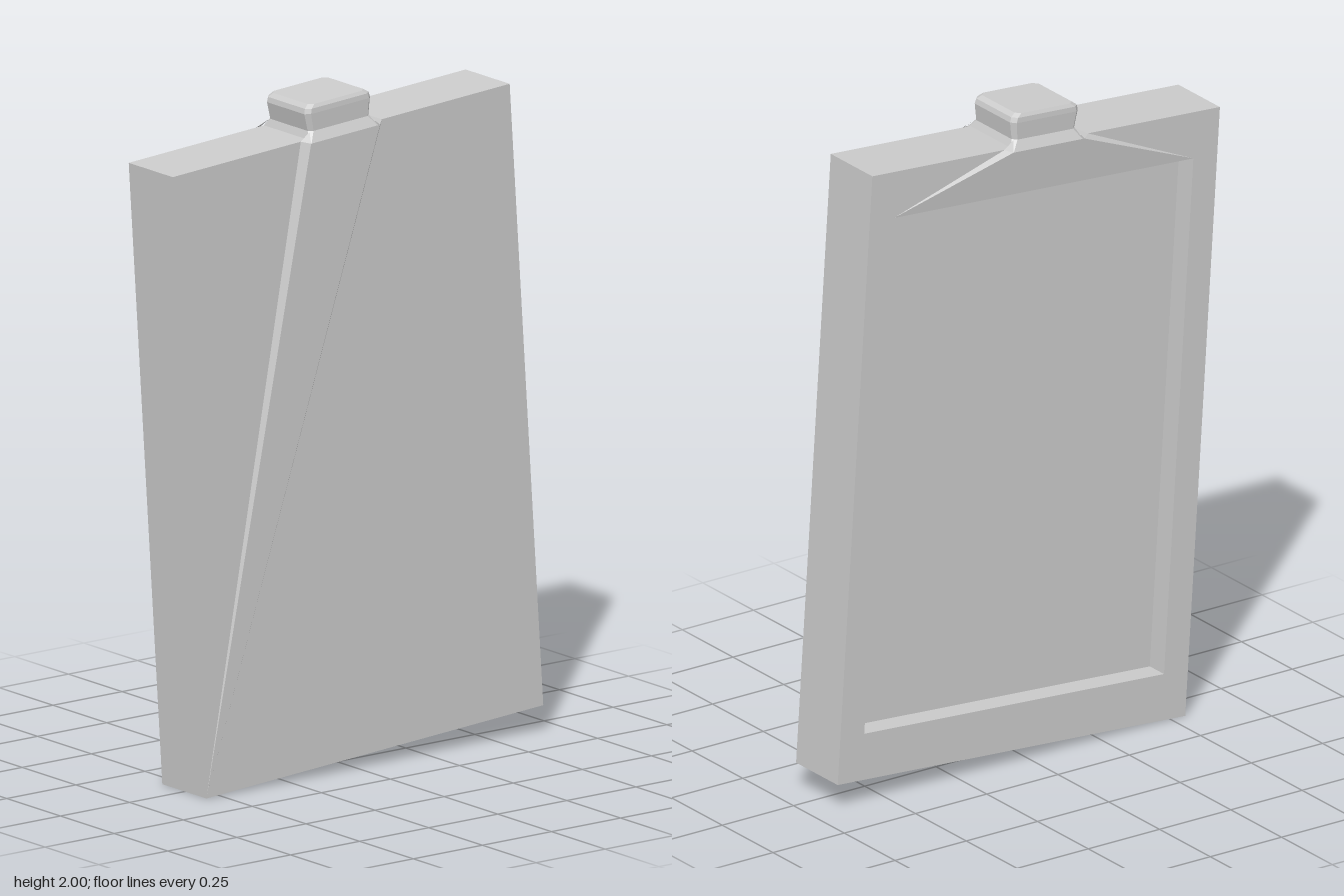
import * as THREE from 'three';

const W = 0.611, H = 1.859;              // half width and height of the panel
const XR = -0.105, XL = 0.1;             // recessed face and plain face
const IN_W = W - 0.084, IN_B = 0.142, IN_T = H - 0.142, FLOOR = -0.035;

const material = (side = THREE.FrontSide) =>
  new THREE.MeshStandardMaterial({ color: 0xcccccc, flatShading: true, side });

function meshFrom(name, triangles, side) {
  const geometry = new THREE.BufferGeometry();
  geometry.setAttribute('position', new THREE.Float32BufferAttribute(triangles.flat(2), 3));
  geometry.computeVertexNormals();
  const mesh = new THREE.Mesh(geometry, material(side));
  mesh.name = name;
  return mesh;
}

// Skin a stack of equal-sized rings and cap both ends
function loft(name, rings) {
  const t = [], n = rings[0].length, last = rings[rings.length - 1];
  for (let r = 0; r + 1 < rings.length; r++) {
    const a = rings[r], b = rings[r + 1];
    for (let i = 0; i < n; i++) {
      const j = (i + 1) % n;
      t.push([a[i], a[j], b[j]], [a[i], b[j], b[i]]);
    }
  }
  for (let i = 1; i + 1 < n; i++) {
    t.push([rings[0][0], rings[0][i + 1], rings[0][i]], [last[0], last[i], last[i + 1]]);
  }
  return meshFrom(name, t);
}

// Upright rectangle at a given x
const rect = (x, w, y0, y1) => [[x, y0, -w], [x, y0, w], [x, y1, w], [x, y1, -w]];

// Level rectangle with cut corners, counterclockwise from above
const octagon = (hx, hz, y, c) => [
  [hx, y, hz - c], [hx, y, c - hz], [hx - c, y, -hz], [c - hx, y, -hz],
  [-hx, y, c - hz], [-hx, y, hz - c], [c - hx, y, hz], [hx - c, y, hz],
];

export function createModel() {
  const model = new THREE.Group();
  model.name = 'tiltedPanel';

  // Slab with a shallow rectangular recess on one side
  const panel = loft('recessedPanel', [
    rect(XL, W, 0, H),
    rect(XR, W, 0, H),
    rect(XR, IN_W, IN_B, IN_T),
    rect(FLOOR, IN_W, IN_B, IN_T),
  ]);

  // Tab with flared foot and softened top
  const tab = loft('topTab', [
    [0.117, 0.125, 1.848, 0.003],
    [0.099, 0.11, 1.88, 0.012],
    [0.101, 0.119, 1.932, 0.014],
    [0.1, 0.115, 1.947, 0.014],
    [0.094, 0.1, 1.957, 0.014],
  ].map((row) => octagon(...row)));

  // Faces swelling out gently below the foot of the tab
  const lips = [];
  for (const [side, x] of [[1, XL], [-1, XR]]) {
    const face = x + side * 0.0005;
    const [a, b] = [1, -1].map((s) => [side * 0.12, 1.852, s * 0.125]);
    const [a0, b0] = [1, -1].map((s) => [face, H, s * 0.147]);
    const [ka, kb] = [1, -1].map((s) => [side * 0.093, 1.878, s * 0.108]);
    const near = side > 0 ? [face, 0, W] : [face, IN_T, IN_W];
    const far = side > 0 ? near : [face, IN_T, -IN_W];
    lips.push([a0, a, near], [a, b, near], [b, b0, far], [a0, a, ka], [b0, b, kb]);
    if (side < 0) lips.push([b, far, near]);
  }
  const lip = meshFrom('flaredLips', lips, THREE.DoubleSide);

  // Lean the whole panel about its lower edge
  const body = new THREE.Group();
  body.name = 'leaningBody';
  body.add(panel, tab, lip);
  body.rotation.x = Math.atan2(0.08, 1.22);
  body.position.set(0, 0.04, -0.06);
  model.add(body);
  return model;
}
